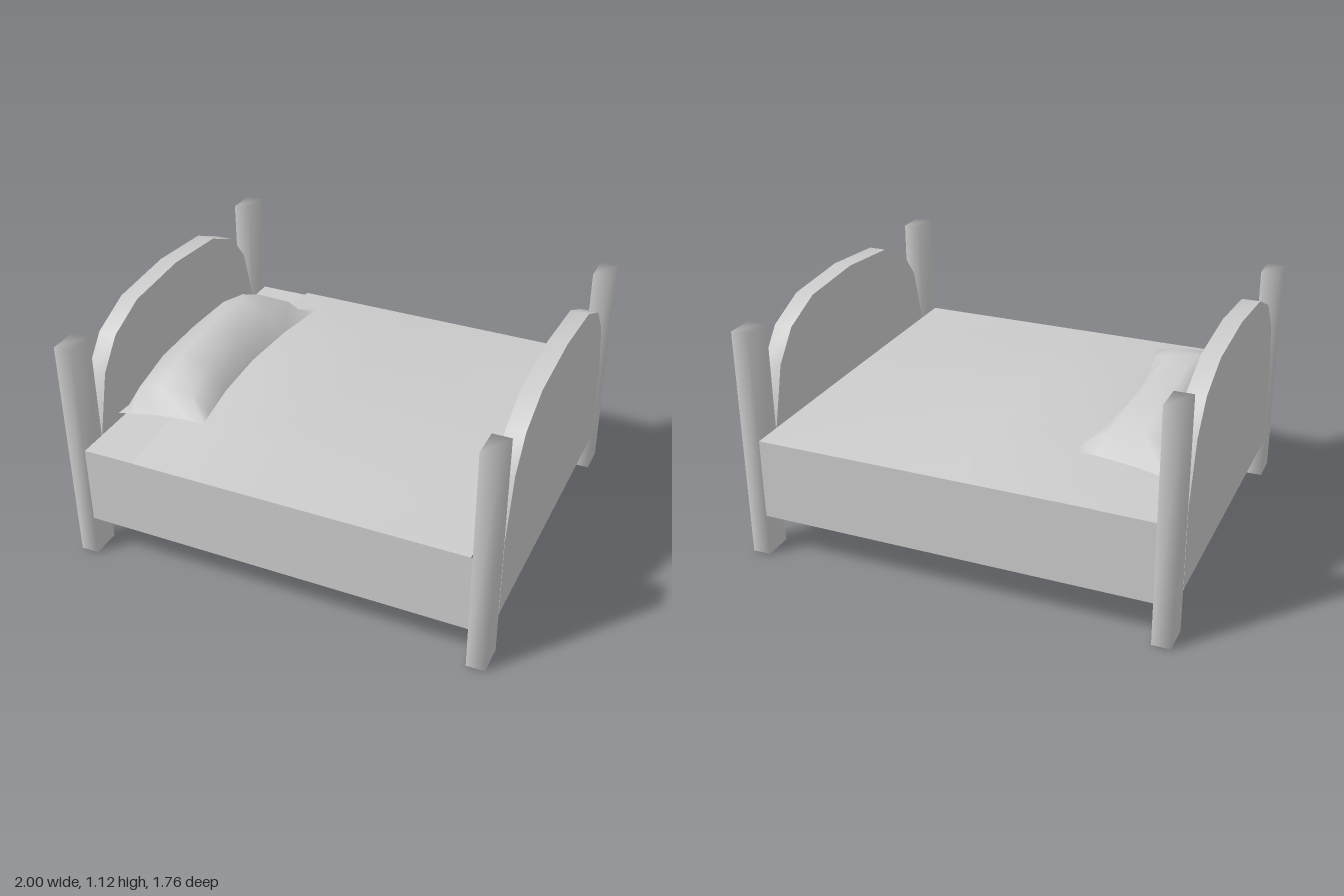
import * as THREE from 'three';
import { mergeVertices, toCreasedNormals } from 'three/addons/utils/BufferGeometryUtils.js';

const grey = new THREE.MeshStandardMaterial({ color: 0xcccccc, side: THREE.DoubleSide });
grey.name = 'plain grey';

// Skin a surface over rows of [x, y, z] points
function skin(rows) {
  const n = rows[0].length, index = [];
  for (let i = 0; i < rows.length - 1; i++) {
    for (let j = 0; j < n - 1; j++) {
      const a = i * n + j, b = a + n;
      index.push(a, a + 1, b, b, a + 1, b + 1);
    }
  }
  const geo = new THREE.BufferGeometry();
  geo.setAttribute('position', new THREE.Float32BufferAttribute(rows.flat(2), 3));
  geo.setIndex(index);
  geo.computeVertexNormals();
  return geo;
}

// Share normals across all corners for a soft look
function soften(geo) {
  geo.deleteAttribute('normal');
  geo.deleteAttribute('uv');
  const merged = mergeVertices(geo, 1e-4);
  merged.computeVertexNormals();
  return merged;
}

// Cloth draped over the bed: two hanging sides and a top that rises to the middle
function drape(stations, halfWidth, bottom) {
  const across = [-1, -0.64, -0.32, 0, 0.32, 0.64, 1];
  const rows = stations.map(([x, edge, crown, bow]) => {
    const top = across.map((t) => [
      x - bow * (1 - t * t), edge + (crown - edge) * (1 - t * t), t * halfWidth,
    ]);
    return [[x, bottom, -halfWidth], ...top, [x, bottom, halfWidth]];
  });
  return toCreasedNormals(skin(rows), 0.6);
}

// Pillow: pinched edges, fullest in the middle
function pillowGeometry() {
  const profile = [[0, 0], [0.15, 0.17], [0.4, 0.186], [0.77, 0.134], [1, 0]];
  const lengthwise = [[-1, 0], [-0.86, 0.6], [-0.5, 0.93], [0, 1], [0.5, 0.93], [0.86, 0.6], [1, 0]];
  const side = (scale) => lengthwise.map(([v, full]) => profile.map(([u, bump]) => {
    const left = -0.895 - 0.02 * v * v, right = -0.525 + 0.065 * v * v;
    return [
      left + (right - left) * u,
      0.61 + 0.06 * u + bump * full * scale,
      v * (0.59 - 0.1 * u * (1 - u)),
    ];
  }));
  return [skin(side(1).reverse()), skin(side(-0.2))];
}

export function createModel() {
  const group = new THREE.Group();
  const add = (name, geo) => {
    const mesh = new THREE.Mesh(geo, grey);
    mesh.name = name;
    group.add(mesh);
    return mesh;
  };

  // Four corner posts
  for (const x of [-1, 1]) {
    for (const z of [-1, 1]) {
      const post = add('post', soften(new THREE.BoxGeometry(0.085, 1.09, 0.14)));
      post.position.set(x * 0.9575, 0.545, z * 0.805);
    }
  }

  // Arched headboard and footboard
  const half = [[0.73, 0.2], [0.73, 0.58], [0.655, 0.86], [0.545, 1.0], [0.35, 1.087], [0, 1.115]];
  const mirrored = half.slice(0, -1).reverse().map(([z, y]) => [-z, y]);
  const outline = new THREE.Shape([...half, ...mirrored].map(([z, y]) => new THREE.Vector2(z, y)));
  for (const [name, x] of [['headboard', -1], ['footboard', 0.915]]) {
    const geo = new THREE.ExtrudeGeometry(outline, { depth: 0.085, bevelEnabled: false });
    geo.rotateY(Math.PI / 2);
    add(name, toCreasedNormals(geo, 0.6)).position.x = x;
  }

  // Open-bottomed mattress: long side walls and the bare strip at the head
  for (const z of [-0.87, 0.87]) {
    add('mattressSide', new THREE.PlaneGeometry(1.83, 0.375)
      .rotateY(z < 0 ? Math.PI : 0).translate(0, 0.3875, z));
  }
  add('mattressHead', drape([[-0.915, 0.575, 0.575, 0], [-0.64, 0.577, 0.605, 0]], 0.869, 0.2));

  // Blanket hanging over both sides
  add('blanket', drape([
    [-0.66, 0.585, 0.612, 0.03],
    [-0.45, 0.585, 0.672, 0],
    [-0.03, 0.585, 0.645, 0],
    [0.91, 0.585, 0.587, 0],
  ], 0.88, 0.225));

  // Pillow
  const [upper, lower] = pillowGeometry();
  add('pillowTop', upper);
  add('pillowUnderside', lower);
  // Skins wind outwards along +z rows, so flip whichever faces inward
  for (const [geo, up] of [[upper, 1], [lower, -1]]) {
    const normal = geo.attributes.normal;
    if (normal.getY(17) * up < 0) {
      geo.setIndex(Array.from(geo.index.array).reverse());
      geo.computeVertexNormals();
    }
  }
  return group;
}
